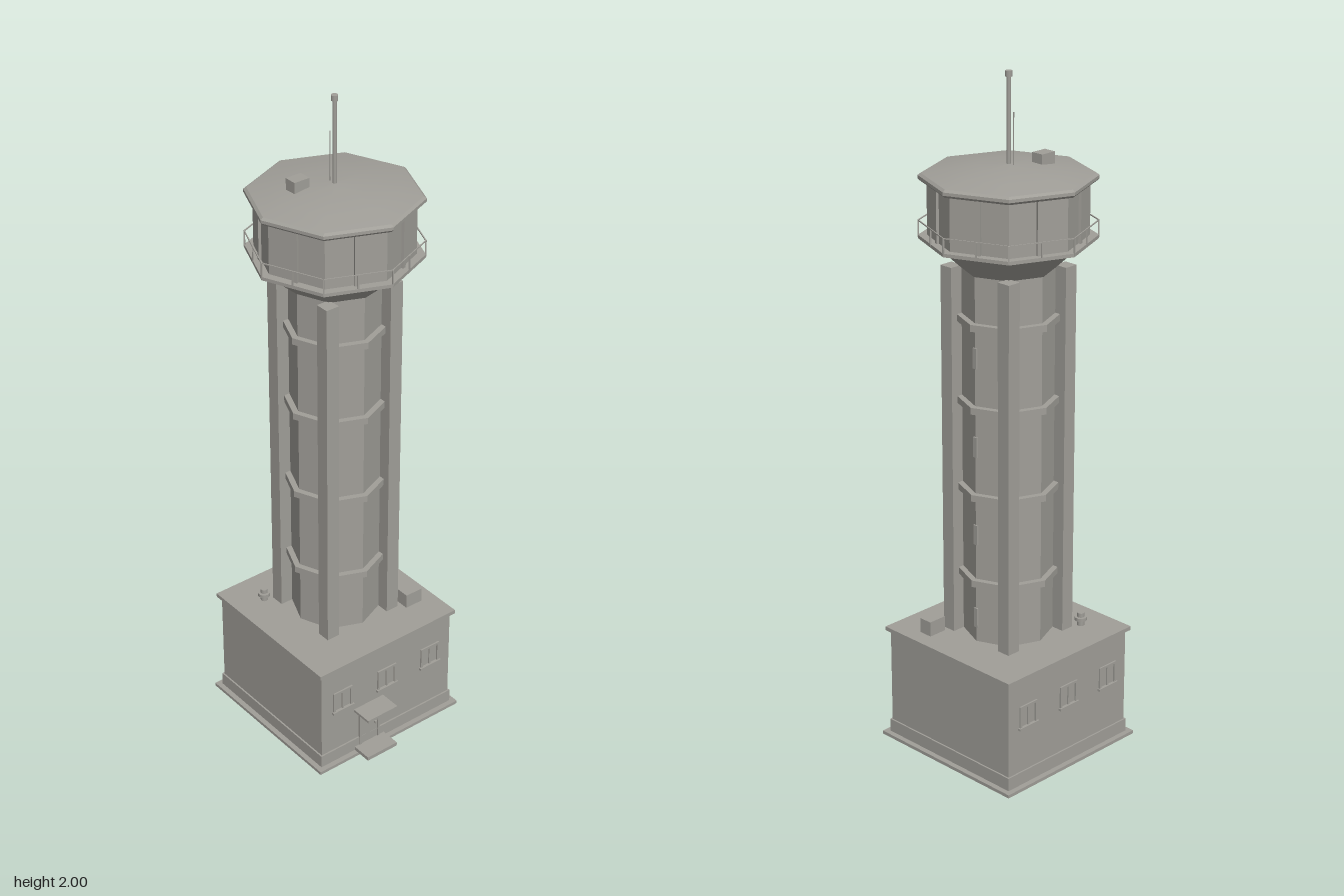
import * as THREE from 'three';

const concrete = new THREE.MeshStandardMaterial({ color: 0xa09e98 });
concrete.name = 'concrete grey';

export function createModel() {
  const model = new THREE.Group();
  model.name = 'controlTower';
  const tower = new THREE.Group();
  tower.name = 'tower';
  tower.position.z = -0.023;
  model.add(tower);

  const add = (name, geo, x = 0, y = 0, z = 0, parent = tower) => {
    const m = new THREE.Mesh(geo, concrete);
    m.name = name;
    m.position.set(x, y, z);
    parent.add(m);
    return m;
  };
  // box given by its centre in x and z and its bottom and top heights
  const box = (name, w, d, y0, y1, x = 0, z = 0, parent = tower) =>
    add(name, new THREE.BoxGeometry(w, y1 - y0, d), x, (y0 + y1) / 2, z, parent);
  const rod = (name, r, y0, y1, x = 0, z = 0) =>
    add(name, new THREE.CylinderGeometry(r, r, y1 - y0, 10), x, (y0 + y1) / 2, z);
  // faceted octagonal solid with corners on the axes
  const octagon = (name, profile) => {
    const geo = new THREE.LatheGeometry(profile.map(p => new THREE.Vector2(...p)), 8).toNonIndexed();
    geo.computeVertexNormals();
    return add(name, geo);
  };
  // point on an octagon: even k is a corner, odd k is the middle of a face
  const octPoint = (k, r) => {
    const a = k * Math.PI / 8;
    const d = k % 2 ? r * Math.cos(Math.PI / 8) : r;
    return [Math.sin(a) * d, Math.cos(a) * d, a];
  };

  // base building
  box('groundSlab', 0.526, 0.526, 0, 0.01);
  box('plinth', 0.494, 0.494, 0.01, 0.05);
  box('baseWalls', 0.484, 0.484, 0.05, 0.345);
  box('baseRoof', 0.506, 0.506, 0.343, 0.355);

  // windows on the front and back walls
  for (const side of [1, -1]) {
    for (const x of [-0.165, 0, 0.165]) {
      const win = new THREE.Group();
      win.name = 'window';
      win.position.set(x, 0, side * 0.243);
      tower.add(win);
      for (const s of [-1, 1]) box('windowJamb', 0.007, 0.008, 0.19, 0.258, s * 0.031, 0, win);
      box('windowHead', 0.069, 0.008, 0.252, 0.259, 0, 0, win);
      box('windowSill', 0.078, 0.016, 0.186, 0.193, 0, 0, win);
      box('windowMullion', 0.006, 0.006, 0.19, 0.255, 0, 0, win);
    }
  }

  // entrance
  const doorX = -0.067;
  box('doorLeaf', 0.062, 0.005, 0.022, 0.138, doorX, 0.244);
  for (const s of [-1, 1]) box('doorJamb', 0.007, 0.012, 0.022, 0.145, doorX + s * 0.034, 0.244);
  box('doorHead', 0.075, 0.012, 0.138, 0.145, doorX, 0.244);
  box('doorHandle', 0.006, 0.008, 0.075, 0.083, doorX + 0.022, 0.249);
  box('canopy', 0.11, 0.068, 0.153, 0.161, doorX, 0.275);
  box('doorStep', 0.11, 0.068, 0.01, 0.022, doorX, 0.275);

  // equipment on the base roof
  box('roofUnit', 0.058, 0.042, 0.355, 0.4, 0.176, 0.134);
  rod('ventPipe', 0.011, 0.355, 0.395, -0.158, -0.142);
  rod('ventCap', 0.019, 0.372, 0.382, -0.158, -0.142);

  // shaft with corner piers and ring bands
  octagon('shaft', [[0.13, 0.35], [0.13, 1.46]]);
  for (const sx of [-1, 1])
    for (const sz of [-1, 1]) box('cornerPier', 0.042, 0.042, 0.35, 1.46, sx * 0.111, sz * 0.111);
  for (const y of [0.543, 0.808, 1.07, 1.312])
    octagon('ringBand', [[0.125, y - 0.01], [0.148, y - 0.01], [0.148, y + 0.01], [0.125, y + 0.01]]);
  for (const y of [0.43, 0.69, 0.957, 1.22])
    box('slitWindow', 0.014, 0.014, y - 0.03, y + 0.03, 0.126, 0);

  // flared neck and gallery floor
  octagon('neck', [[0, 1.455], [0.133, 1.455], [0.226, 1.538]]);
  octagon('galleryFloor', [[0.2, 1.536], [0.247, 1.536], [0.247, 1.546], [0.2, 1.546]]);

  // cab with window bars
  octagon('cab', [[0.222, 1.54], [0.222, 1.705]]);
  for (let k = 1; k < 16; k += 2) {
    const [x, z, a] = octPoint(k, 0.224);
    box('cabMullion', 0.012, 0.012, 1.546, 1.695, x, z).rotation.y = a;
  }

  // gallery railing
  for (let k = 0; k < 16; k++) {
    const [x, z, a] = octPoint(k, 0.246);
    box('railPost', 0.004, 0.004, 1.54, 1.588, x, z).rotation.y = a;
    if (k % 2) box('handrail', 0.188, 0.003, 1.586, 1.589, x, z).rotation.y = a;
  }

  // roof: faceted rim under a softly shaded dome
  octagon('roofRim', [[0.2, 1.698], [0.239, 1.698], [0.246, 1.705], [0.246, 1.714], [0.238, 1.72]]);
  const dome = [[0.238, 1.72], [0.17, 1.732], [0.09, 1.742], [0, 1.746]];
  add('roofDome', new THREE.LatheGeometry(dome.map(p => new THREE.Vector2(...p)), 8));
  box('roofHatch', 0.05, 0.038, 1.73, 1.77, -0.089, -0.045);

  // antennas
  rod('mast', 0.006, 1.74, 1.99);
  rod('mastTip', 0.01, 1.984, 2);
  rod('whipAntenna', 0.0015, 1.74, 1.89, 0, -0.019);

  return model;
}
